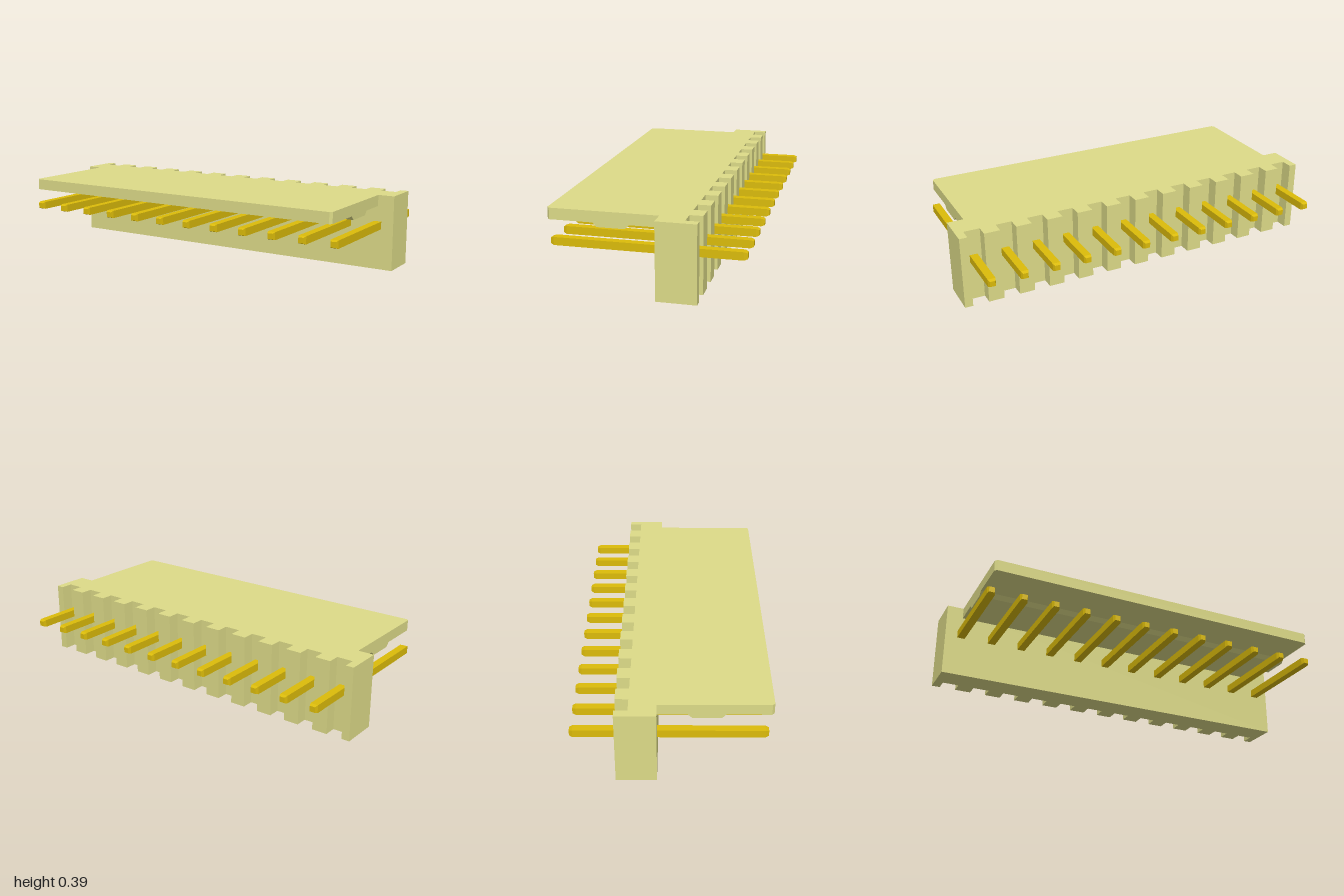
import * as THREE from 'three';

const PINS = 12, PITCH = 0.1665, HEIGHT = 0.387;
const FRONT = -0.068, SLOT = -0.2, BACK = -0.265; // z levels of the wall
const pinX = i => (i - (PINS - 1) / 2) * PITCH;

// Extrudes an outline of [x, z] points upwards from y0 to y1
function slab(points, y0, y1) {
  const shape = new THREE.Shape(points.map(([x, z]) => new THREE.Vector2(x, -z)));
  return new THREE.ExtrudeGeometry(shape, { depth: y1 - y0, bevelEnabled: false })
    .rotateX(-Math.PI / 2).translate(0, y0, 0);
}

export function createModel() {
  const group = new THREE.Group();
  const plastic = new THREE.MeshStandardMaterial({ color: 0xdddb88 });
  const metal = new THREE.MeshStandardMaterial({ color: 0xdcbc0a });
  const add = (name, geometry, material) => {
    const mesh = new THREE.Mesh(geometry, material);
    mesh.name = name;
    group.add(mesh);
    return mesh;
  };

  // Upright wall with a full-height slot behind every pin
  const wall = [[1, FRONT], [-1, FRONT], [-1, BACK]];
  for (let i = 0; i < PINS; i++) {
    const a = pinX(i) - 0.042, b = pinX(i) + 0.042;
    wall.push([a, BACK], [a, SLOT], [b, SLOT], [b, BACK]);
  }
  wall.push([1, BACK]);
  add('slottedWall', slab(wall, 0, HEIGHT), plastic);

  // Locking plate with clipped front corners
  const w = 0.915, end = 0.48, c = 0.012;
  add('topPlate', slab([[-w, FRONT], [w, FRONT], [w, end - c], [w - c, end],
    [c - w, end], [-w, end - c]], 0.33, HEIGHT), plastic);

  // Sloped latch ridge under the plate, extruded along x
  const ridge = new THREE.Shape([[-0.255, 0.33], [-0.235, 0.309], [-0.098, 0.309], [-0.076, 0.33]]
    .map(p => new THREE.Vector2(...p)));
  add('latchRidge', new THREE.ExtrudeGeometry(ridge, { depth: 2 * w, bevelEnabled: false })
    .rotateY(Math.PI / 2).translate(-w, 0, 0), plastic);

  // Square pins with tapered tips
  const r = 0.02 * Math.SQRT2, tip = 0.014 * Math.SQRT2;
  const profile = [[0, -0.481], [tip, -0.481], [r, -0.465], [r, 0.442], [tip, 0.458], [0, 0.458]]
    .map(p => new THREE.Vector2(...p));
  const pin = new THREE.LatheGeometry(profile, 4, Math.PI / 4).rotateX(Math.PI / 2).toNonIndexed();
  pin.computeVertexNormals();
  for (let i = 0; i < PINS; i++) {
    add('pin' + (i + 1), pin, metal).position.set(pinX(i), 0.231, 0);
  }
  return group;
}
